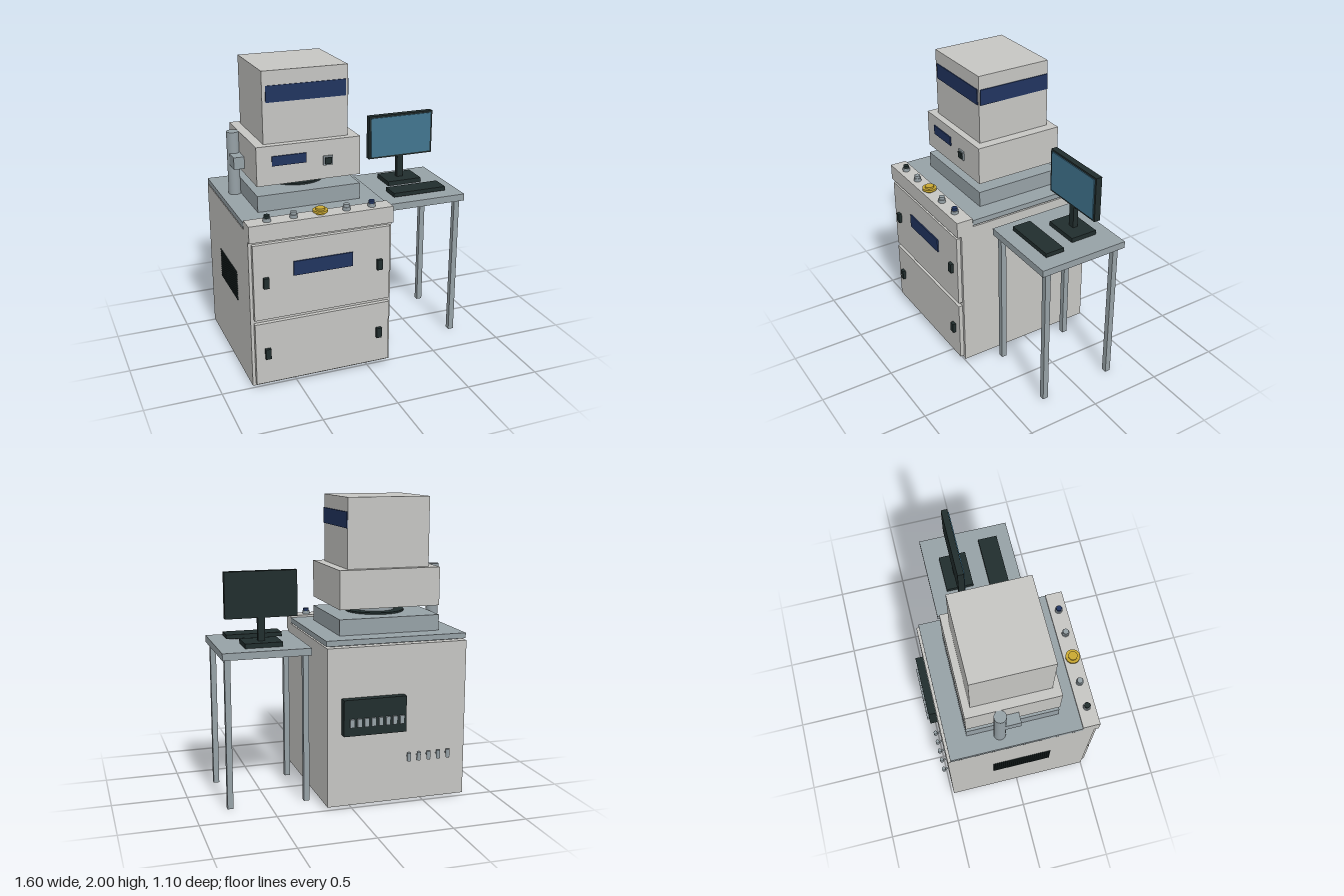
import * as THREE from 'three';

const mat = (name, color) => {
  const m = new THREE.MeshStandardMaterial({ color });
  m.name = name;
  return m;
};

export function createModel() {
  const root = new THREE.Group();
  root.name = 'instrumentWorkstation';

  const shell = mat('paleShell', 0xc5c5c2);
  const steel = mat('blueGreySteel', 0x96a1a6);
  const dark = mat('darkPlastic', 0x212d2d);
  const navy = mat('navyTrim', 0x21345f);
  const glass = mat('screenBlue', 0x41758f);
  const gold = mat('goldKnob', 0xc9a832);

  const group = (name) => {
    const g = new THREE.Group();
    g.name = name;
    root.add(g);
    return g;
  };
  // Box from its minimum and maximum on each axis
  const box = (parent, name, m, x0, x1, y0, y1, z0, z1) => {
    const mesh = new THREE.Mesh(new THREE.BoxGeometry(x1 - x0, y1 - y0, z1 - z0), m);
    mesh.position.set((x0 + x1) / 2, (y0 + y1) / 2, (z0 + z1) / 2);
    mesh.name = name;
    parent.add(mesh);
    return mesh;
  };
  // Upright cylinder between two heights
  const cyl = (parent, name, m, x, z, r, y0, y1, rTop = r) => {
    const mesh = new THREE.Mesh(new THREE.CylinderGeometry(rTop, r, y1 - y0, 32), m);
    mesh.position.set(x, (y0 + y1) / 2, z);
    mesh.name = name;
    parent.add(mesh);
    return mesh;
  };

  // Cabinet with feet, doors and handles
  const cabinet = group('cabinet');
  box(cabinet, 'cabinetBody', shell, -0.795, 0.16, 0.015, 1.07, -0.485, 0.5);
  box(cabinet, 'controlLedge', shell, -0.795, 0.16, 1.02, 1.13, 0.415, 0.53);
  for (const x of [-0.7, 0.065]) {
    for (const z of [-0.375, 0.39]) cyl(cabinet, 'foot', dark, x, z, 0.037, 0, 0.016);
  }
  for (const [y0, y1, handleY] of [[0.49, 1.0, 0.71], [0.035, 0.462, 0.215]]) {
    box(cabinet, 'door', shell, -0.775, 0.14, y0, y1, 0.5, 0.528);
    for (const x of [-0.697, 0.067]) {
      box(cabinet, 'doorHandle', dark, x - 0.018, x + 0.018, handleY, handleY + 0.07, 0.528, 0.55);
    }
  }
  box(cabinet, 'doorPanel', navy, -0.515, -0.118, 0.765, 0.86, 0.528, 0.537);

  // Side vent slats
  for (let i = 0; i < 13; i++) {
    const y = 0.5 + i * 0.016;
    box(cabinet, 'ventSlat', dark, -0.8, -0.794, y, y + 0.008, -0.18, 0.22).position.z = 0.02;
  }

  // Rear connection box and sockets
  const rear = group('rearConnections');
  box(rear, 'connectorBox', dark, -0.36, 0.065, 0.5, 0.74, -0.538, -0.485);
  for (let i = 0; i < 8; i++) {
    const x = -0.327 + i * 0.0483;
    box(rear, 'connector', steel, x - 0.015, x + 0.015, 0.56, 0.615, -0.552, -0.538);
  }
  for (let i = 0; i < 5; i++) {
    const x = -0.665 + i * 0.0685;
    cyl(rear, 'hoseFitting', steel, x, -0.518, 0.013, 0.29, 0.345);
    box(rear, 'fittingStub', steel, x - 0.005, x + 0.005, 0.312, 0.322, -0.516, -0.485);
  }

  // Knobs along the ledge
  const knobs = group('knobs');
  for (const [x, m] of [[-0.663, dark], [-0.49, steel], [-0.14, steel], [0.032, navy]]) {
    cyl(knobs, 'knobBase', steel, x, 0.475, 0.025, 1.13, 1.152);
    cyl(knobs, 'knobCap', m, x, 0.475, 0.019, 1.152, 1.171);
  }
  cyl(knobs, 'mainKnobStem', gold, -0.315, 0.475, 0.03, 1.13, 1.143);
  cyl(knobs, 'mainKnobDisc', gold, -0.315, 0.475, 0.048, 1.143, 1.158);
  cyl(knobs, 'mainKnobTop', gold, -0.315, 0.475, 0.03, 1.158, 1.171);

  // Worktop, riser and turntable
  const stage = group('stage');
  box(stage, 'worktopSupport', steel, -0.76, 0.125, 1.07, 1.08, -0.43, 0.4);
  box(stage, 'worktop', steel, -0.797, 0.161, 1.08, 1.116, -0.467, 0.415);
  box(stage, 'riser', steel, -0.662, 0.03, 1.116, 1.222, -0.33, 0.284);
  cyl(stage, 'lowerDisc', dark, -0.315, -0.022, 0.2, 1.222, 1.234);
  cyl(stage, 'turntable', steel, -0.315, -0.022, 0.135, 1.234, 1.272);
  cyl(stage, 'upperDisc', dark, -0.315, -0.022, 0.2, 1.272, 1.285);

  // Measuring head and tower
  const head = group('head');
  box(head, 'headBox', shell, -0.662, 0.03, 1.285, 1.54, -0.33, 0.284);
  box(head, 'headLabelPlate', navy, -0.562, -0.336, 1.41, 1.473, 0.284, 0.292);
  box(head, 'buttonFrame', steel, -0.223, -0.161, 1.375, 1.437, 0.284, 0.294);
  box(head, 'button', dark, -0.213, -0.171, 1.385, 1.427, 0.294, 0.304);
  box(head, 'tower', shell, -0.6, -0.037, 1.54, 2.0, -0.283, 0.236);
  box(head, 'frontBand', navy, -0.578, -0.052, 1.803, 1.908, 0.236, 0.242);
  box(head, 'sideBand', navy, -0.037, -0.03, 1.803, 1.908, -0.28, 0.228);

  // Side column and its bracket
  const column = group('column');
  cyl(column, 'columnPost', steel, -0.7, -0.118, 0.04, 1.116, 1.54);
  box(column, 'columnBracket', steel, -0.732, -0.662, 1.32, 1.4, -0.118, 0.012).position.z = -0.054;

  // Side table
  const table = group('table');
  box(table, 'tableTop', steel, 0.214, 0.798, 1.0, 1.047, -0.327, 0.298);
  for (const x of [0.245, 0.76]) {
    for (const z of [-0.27, 0.246]) {
      box(table, 'tableLeg', steel, x - 0.019, x + 0.019, 0, 1.0, z - 0.019, z + 0.019);
    }
  }

  // Monitor and keyboard
  const desk = group('computer');
  box(desk, 'monitorBase', dark, 0.38, 0.63, 1.047, 1.078, -0.222, -0.035);
  box(desk, 'monitorNeck', dark, 0.482, 0.528, 1.078, 1.26, -0.15, -0.115);
  box(desk, 'monitorCase', dark, 0.265, 0.745, 1.232, 1.536, -0.158, -0.115);
  box(desk, 'screen', glass, 0.28, 0.73, 1.245, 1.523, -0.115, -0.109);
  box(desk, 'keyboard', dark, 0.314, 0.696, 1.056, 1.084, 0.075, 0.207);
  box(desk, 'keyboardFoot', dark, 0.38, 0.63, 1.047, 1.056, 0.11, 0.17);

  return root;
}
